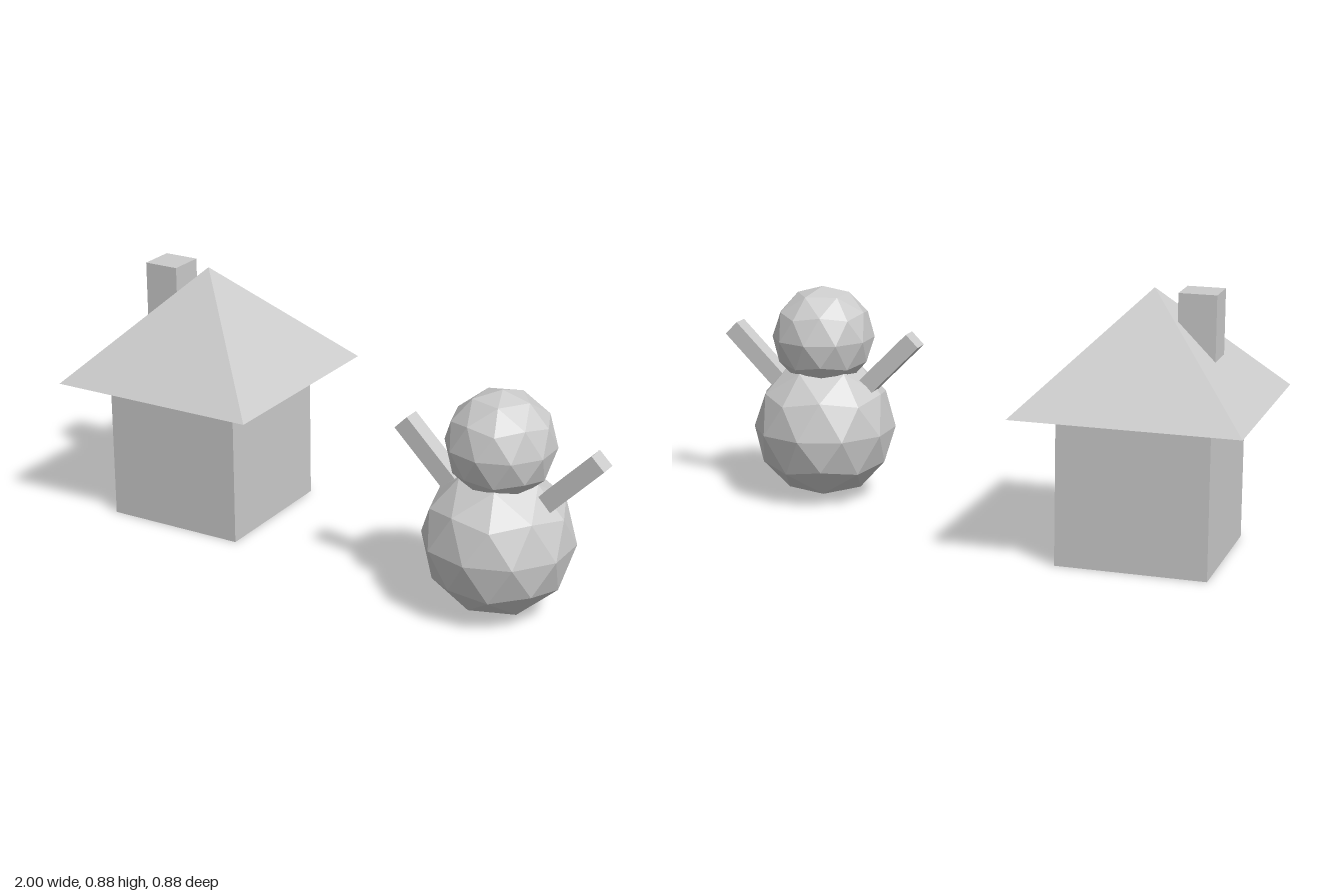
import * as THREE from 'three';

const material = new THREE.MeshStandardMaterial({ color: 0xcccccc, flatShading: true });

function add(parent, name, geometry, x, y, z) {
  const mesh = new THREE.Mesh(geometry, material);
  mesh.name = name;
  mesh.position.set(x, y, z);
  parent.add(mesh);
  return mesh;
}

// Faceted ball with a vertex at the top and bottom poles
function ball(radius) {
  return new THREE.IcosahedronGeometry(radius, 1)
    .rotateX(-Math.atan((1 + Math.sqrt(5)) / 2))
    .rotateY(Math.PI / 2);
}

export function createModel() {
  const model = new THREE.Group();
  model.name = 'houseAndSnowman';

  // House: cube walls, pyramid roof, square chimney
  const house = new THREE.Group();
  house.name = 'house';
  house.position.set(-0.623, 0, -0.063);
  model.add(house);
  const wall = 0.503, roofWidth = 0.754, roofHeight = 0.377;
  add(house, 'walls', new THREE.BoxGeometry(wall, wall, wall), 0, wall / 2, 0);
  const roof = new THREE.ConeGeometry(roofWidth / Math.SQRT2, roofHeight, 4).rotateY(Math.PI / 4);
  add(house, 'roof', roof, 0, 0.506 + roofHeight / 2, 0);
  add(house, 'chimney', new THREE.BoxGeometry(0.125, 0.25, 0.125), -0.155, 0.757, 0);

  // Snowman: two faceted balls and raised stick arms
  const snowman = new THREE.Group();
  snowman.name = 'snowman';
  snowman.position.set(0.635, 0, 0.19);
  model.add(snowman);
  add(snowman, 'body', ball(0.251), 0, 0.254, 0);
  add(snowman, 'head', ball(0.18), 0, 0.58, 0);
  for (const side of [1, -1]) {
    const arm = add(snowman, side > 0 ? 'leftArm' : 'rightArm',
      new THREE.BoxGeometry(0.062, 0.26, 0.062), side * 0.251, 0.5, 0);
    arm.rotation.z = -side * Math.PI / 4;
  }

  return model;
}
